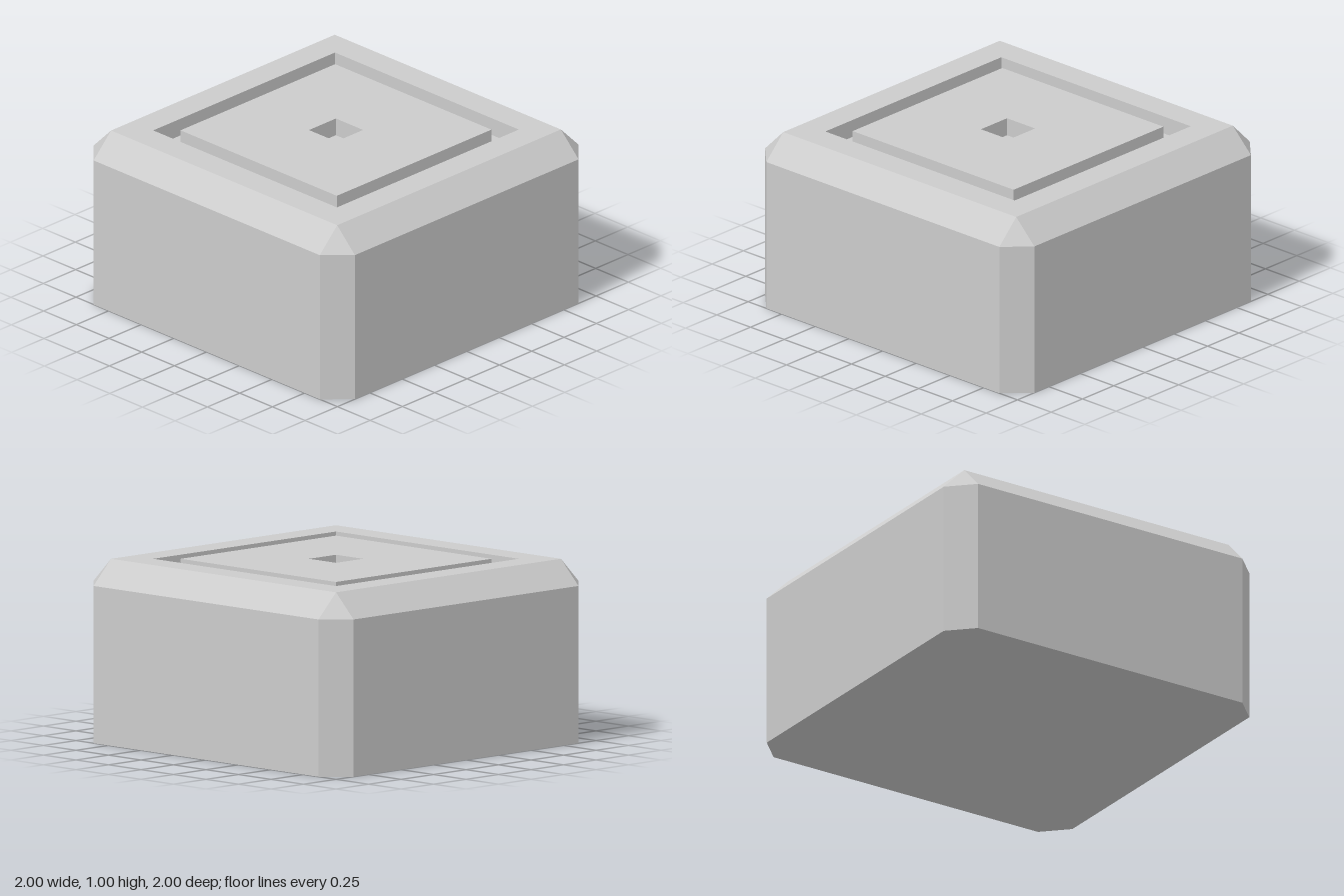
import * as THREE from 'three';

const material = new THREE.MeshStandardMaterial({ color: 0xcccccc, flatShading: true });

// Square ring at height y: half width, corner chamfer; eight points
function ring([half, chamfer, y]) {
  const points = [];
  for (let k = 0; k < 4; k++) {
    for (const s of [-1, 1]) {
      let x = half, z = s * (half - chamfer);
      for (let r = 0; r < k; r++) [x, z] = [-z, x];
      points.push(new THREE.Vector3(x, y, z));
    }
  }
  return points;
}

// Joins a profile of square rings with flat faces
function loft(name, profile) {
  const rings = profile.map(ring);
  const vertices = [];
  const triangle = (a, b, c) => {
    if (new THREE.Triangle(a, b, c).getArea() < 1e-8) return;
    for (const p of [a, b, c]) vertices.push(p.x, p.y, p.z);
  };
  for (let i = 0; i < rings.length - 1; i++) {
    const a = rings[i], b = rings[i + 1];
    for (let j = 0; j < 8; j++) {
      const n = (j + 1) % 8;
      triangle(a[j], b[j], b[n]);
      triangle(a[j], b[n], a[n]);
    }
  }
  const geometry = new THREE.BufferGeometry();
  geometry.setAttribute('position', new THREE.Float32BufferAttribute(vertices, 3));
  geometry.computeVertexNormals();
  const mesh = new THREE.Mesh(geometry, material);
  mesh.name = name;
  return mesh;
}

export function createModel() {
  const bevel = 0.135, top = 1, floor = 0.9;
  const rim = 1 - bevel, grooveOuter = 0.703, grooveInner = 0.598, hole = 0.104;

  const group = new THREE.Group();
  group.name = 'bevelledBlock';
  group.add(
    // Underside, chamfered walls, top bevel and flat rim
    loft('body', [[0, 0, 0], [1, bevel, 0], [1, bevel, 1 - bevel], [rim, 0, top], [grooveOuter, 0, top]]),
    // Square channel around the centre
    loft('groove', [[grooveOuter, 0, top], [grooveOuter, 0, floor], [grooveInner, 0, floor]]),
    // Raised pad, flush with the rim
    loft('centrePad', [[grooveInner, 0, floor], [grooveInner, 0, top], [hole, 0, top]]),
    // Small square pocket in the pad
    loft('centrePocket', [[hole, 0, top], [hole, 0, floor], [0, 0, floor]])
  );
  return group;
}
